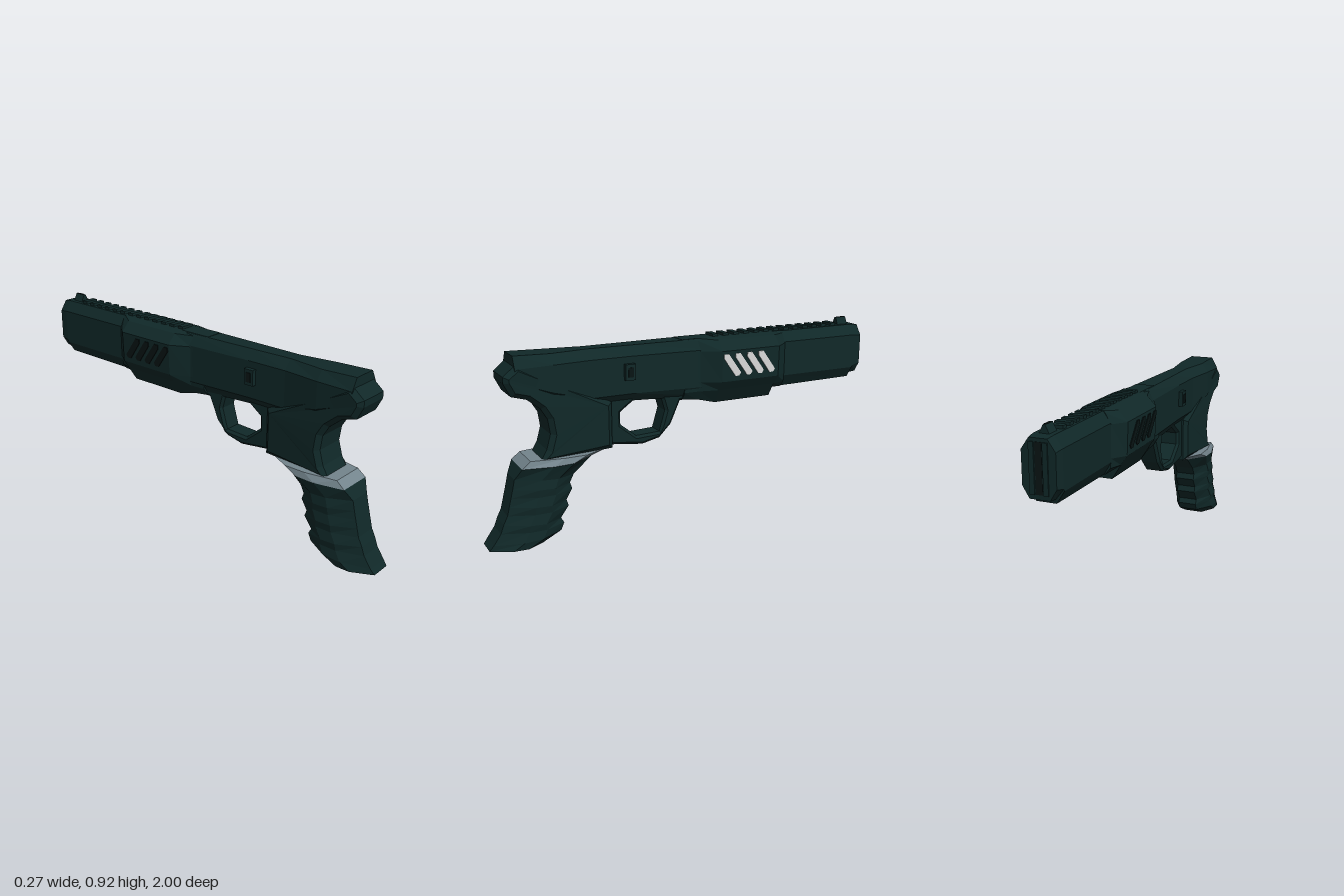
import * as THREE from 'three';

const mat = (name, color, side = THREE.FrontSide) =>
  Object.assign(new THREE.MeshStandardMaterial({ color, flatShading: true, side }), { name });

export function createModel() {
  const group = new THREE.Group();
  const body = mat('dark green body', 0x102828);
  const dark = mat('near black trim', 0x081414);
  const silver = mat('silver band', 0x73848c);
  const light = mat('light vents', 0xdcdcdc);

  const add = (name, geometry, material) => {
    const mesh = new THREE.Mesh(geometry, material);
    mesh.name = name;
    group.add(mesh);
    return mesh;
  };

  // Closed skin over half cross-sections ([x, y, z] points with x >= 0), mirrored in x
  function loft(halves) {
    const rings = halves.map(h => [...h, ...[...h].reverse().map(([x, y, z]) => [-x, y, z])]);
    const pos = [], n = rings[0].length;
    const tri = (...p) => p.forEach(q => pos.push(...q));
    for (let r = 0; r < rings.length - 1; r++) {
      const a = rings[r], b = rings[r + 1];
      for (let i = 0; i < n; i++) {
        const j = (i + 1) % n;
        tri(a[i], a[j], b[j]);
        tri(a[i], b[j], b[i]);
      }
    }
    const mid = ring => [0, 1, 2].map(k => ring.reduce((s, p) => s + p[k], 0) / n);
    const first = rings[0], last = rings[rings.length - 1];
    for (let i = 0; i < n; i++) {
      const j = (i + 1) % n;
      tri(mid(first), first[j], first[i]);
      tri(mid(last), last[i], last[j]);
    }
    const g = new THREE.BufferGeometry();
    g.setAttribute('position', new THREE.Float32BufferAttribute(pos, 3));
    g.computeVertexNormals();
    return g;
  }

  // Side outline in (z, y), extruded symmetrically across x with chamfered edges
  function slab(points, half, bevel, hole) {
    const toV = p => p.map(([z, y]) => new THREE.Vector2(z, y));
    const shape = new THREE.Shape(toV(points));
    if (hole) shape.holes.push(new THREE.Path(toV(hole)));
    const g = new THREE.ExtrudeGeometry(shape, {
      depth: 2 * (half - bevel), bevelEnabled: bevel > 0, bevelSize: bevel,
      bevelThickness: bevel, bevelOffset: -bevel, bevelSegments: 1
    });
    g.translate(0, 0, -(half - bevel));
    g.rotateY(-Math.PI / 2);
    return g;
  }

  // Chamfered section at z: bottom half width and height, side width and heights, top
  const section = (z, bw, by, w, y1, y2, tw, ty) =>
    [[bw, by, z], [w, y1, z], [w, y2, z], [tw, ty, z]];

  // Barrel, shroud and slide
  add('barrel', loft([
    section(-0.995, 0.045, 0.63, 0.075, 0.68, 0.825, 0.04, 0.875),
    section(-0.95, 0.045, 0.625, 0.08, 0.67, 0.83, 0.045, 0.88),
    section(-0.945, 0.045, 0.605, 0.08, 0.66, 0.83, 0.045, 0.88),
    section(-0.45, 0.045, 0.60, 0.08, 0.66, 0.83, 0.045, 0.88)
  ]), body);
  const shroudSection = (z, k, by) => [
    [0.05, by, z], [0.075 + 0.02 * k, 0.63, z], [0.08 + 0.045 * k, 0.675, z],
    [0.08 + 0.05 * k, 0.825, z], [0.055 + 0.03 * k, 0.872, z], [0.045, 0.882, z]
  ];
  add('shroud', loft([
    shroudSection(-0.525, 0, 0.60), shroudSection(-0.46, 1, 0.60), shroudSection(-0.455, 1, 0.56),
    shroudSection(-0.145, 1, 0.56), shroudSection(-0.05, 0, 0.585), shroudSection(0.03, -0.1, 0.595)
  ]), body);
  add('slide', loft([
    section(-0.1, 0.05, 0.60, 0.08, 0.65, 0.83, 0.05, 0.88),
    section(0.3, 0.045, 0.62, 0.075, 0.66, 0.835, 0.04, 0.88),
    section(0.5, 0.045, 0.62, 0.075, 0.66, 0.835, 0.035, 0.88),
    section(0.68, 0.06, 0.66, 0.094, 0.71, 0.835, 0.06, 0.88),
    section(0.85, 0.06, 0.74, 0.09, 0.77, 0.83, 0.06, 0.885)
  ]), body);

  // Rear frame, narrowing toward the front
  const frame = slab([
    [0.84, 0.85], [0.90, 0.80], [0.90, 0.77], [0.87, 0.71], [0.80, 0.69], [0.74, 0.64], [0.71, 0.59],
    [0.70, 0.52], [0.72, 0.45], [0.75, 0.40], [0.40, 0.41], [0.40, 0.63]
  ].reverse(), 0.096, 0.022);
  const p = frame.attributes.position;
  for (let i = 0; i < p.count; i++) {
    const t = THREE.MathUtils.clamp((p.getZ(i) - 0.4) / 0.22, 0, 1);
    p.setX(i, p.getX(i) * (0.82 + 0.18 * t));
  }
  frame.computeVertexNormals();
  add('rearFrame', frame, body);

  // Trigger guard with its opening
  add('triggerGuard', slab([
    [0.45, 0.41], [0.40, 0.42], [0.24, 0.40], [0.15, 0.42], [0.09, 0.48], [0.04, 0.59],
    [-0.04, 0.59], [-0.04, 0.66], [0.45, 0.66]
  ].reverse(), 0.052, 0.012, [
    [0.35, 0.57], [0.28, 0.62], [0.14, 0.62], [0.12, 0.55], [0.15, 0.45], [0.27, 0.445], [0.35, 0.51]
  ]), body);

  // Ribbed grip and band: back y, back z, front y, front z, half width, back flat half width
  const gripSection = ([yb, zb, yf, zf, w, f]) => [[0, f], [0.4, w], [0.68, w], [1, 0.05]]
    .map(([t, x]) => [x, yb + (yf - yb) * t, zb + (zf - zb) * t]);
  add('grip', loft([
    [0.005, 1.0, 0.0, 0.75, 0.098, 0.05],
    [0.03, 0.98, 0.045, 0.66, 0.105, 0.055],
    [0.08, 0.945, 0.08, 0.645, 0.099, 0.055],
    [0.12, 0.93, 0.105, 0.66, 0.105, 0.055],
    [0.16, 0.91, 0.16, 0.62, 0.099, 0.055],
    [0.20, 0.90, 0.19, 0.63, 0.105, 0.055],
    [0.24, 0.89, 0.24, 0.60, 0.099, 0.055],
    [0.28, 0.88, 0.27, 0.61, 0.105, 0.055],
    [0.325, 0.87, 0.31, 0.59, 0.10, 0.055],
    [0.378, 0.84, 0.385, 0.50, 0.12, 0.085]
  ].map(gripSection)), body);
  add('gripBand', loft([
    [0.378, 0.84, 0.385, 0.50, 0.12, 0.085],
    [0.41, 0.80, 0.412, 0.42, 0.112, 0.083]
  ].map(gripSection)), silver);

  // Top rib teeth and front sight
  for (let i = 0; i < 13; i++) {
    add('topRib', new THREE.BoxGeometry(0.07, 0.02, 0.03), body).position.set(0, 0.884, -0.155 - i * 0.0575);
  }
  add('frontSight', loft([-0.945, -0.885].map(z => [[0.025, 0.875, z], [0.005, 0.915, z]])), body);
  add('sightInset', new THREE.BoxGeometry(0.012, 0.004, 0.04), dark).position.set(0, 0.914, -0.915);

  // Side buttons and slanted vents
  for (const s of [1, -1]) {
    add('sideButton', new THREE.BoxGeometry(0.04, 0.075, 0.05), body).position.set(s * 0.076, 0.765, 0.315);
    add('buttonFace', new THREE.BoxGeometry(0.006, 0.045, 0.025), dark).position.set(s * 0.096, 0.765, 0.315);
    for (let i = 0; i < 4; i++) {
      const z = -0.15 - i * 0.064;
      const vent = slab([
        [z, 0.81], [z - 0.025, 0.81], [z - 0.095, 0.715], [z - 0.085, 0.70], [z - 0.065, 0.70], [z, 0.79]
      ].reverse(), 0.003, 0);
      const mesh = add('ventSlot', vent, s > 0 ? light : dark);
      mesh.position.x = s * 0.129;
      // lean with the shroud wall
      mesh.geometry.translate(0, -0.755, 0);
      mesh.position.y = 0.755;
      mesh.rotation.z = -s * 0.033;
    }
  }

  // Muzzle face with vertical bars
  for (const x of [-0.03, 0.03]) {
    add('muzzleBar', new THREE.BoxGeometry(0.022, 0.21, 0.008), body).position.set(x, 0.755, -0.996);
  }
  add('muzzleSlot', new THREE.BoxGeometry(0.03, 0.21, 0.004), dark).position.set(0, 0.755, -0.995);

  return group;
}
